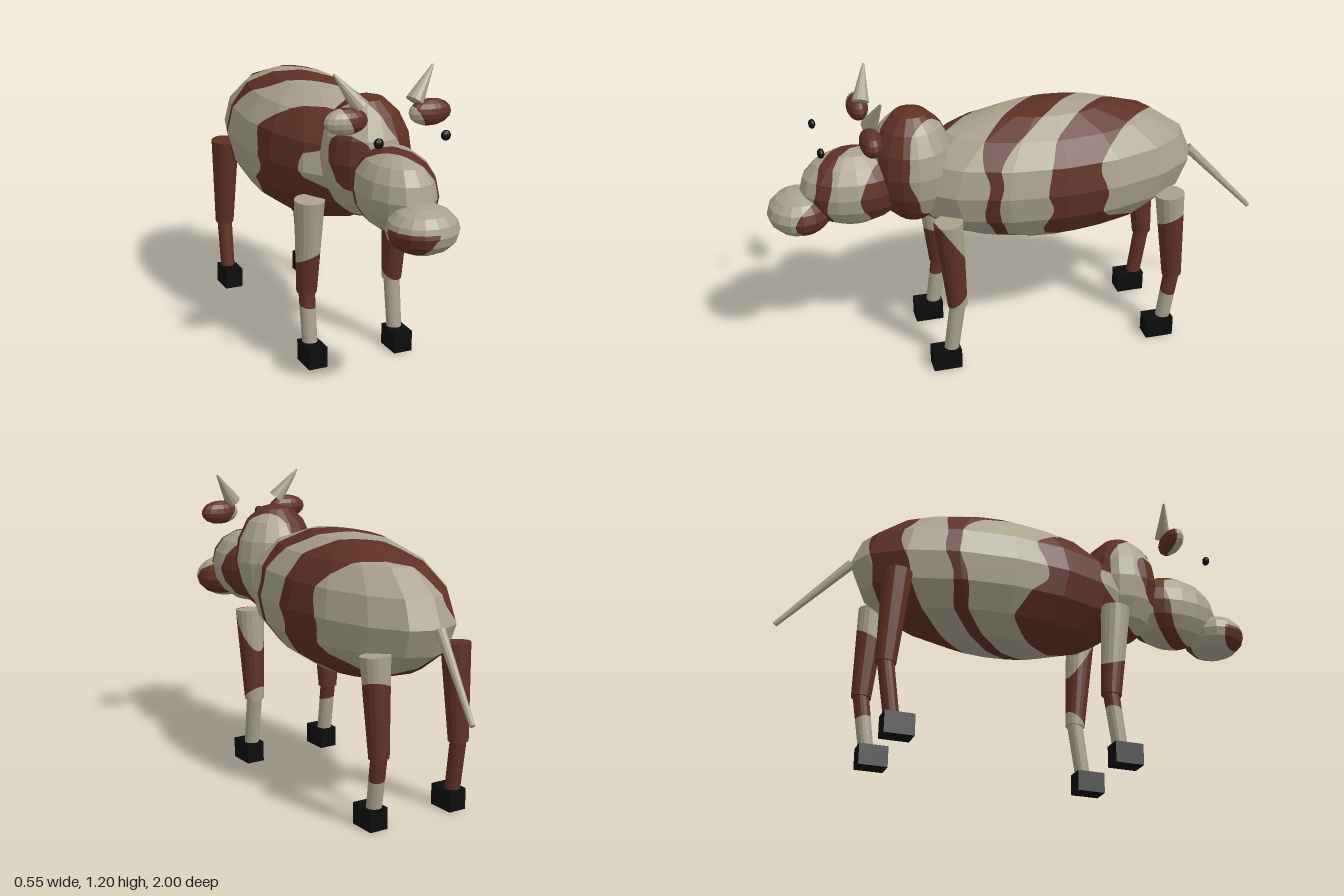
import * as THREE from 'three';

const mat = (name, color) => new THREE.MeshStandardMaterial({ name, color });

// Flat-shaded ellipsoid placed in model space
function ellipsoid(center, radii, w = 16, h = 8) {
  return new THREE.SphereGeometry(1, w, h).scale(...radii).translate(...center);
}

// Tapered limb running between two points
function limb(from, to, rFrom, rTo, sides = 16) {
  const a = new THREE.Vector3(...from), b = new THREE.Vector3(...to);
  const dir = b.clone().sub(a);
  const g = new THREE.CylinderGeometry(rTo, rFrom, dir.length(), sides);
  g.applyQuaternion(new THREE.Quaternion().setFromUnitVectors(new THREE.Vector3(0, 1, 0), dir.normalize()));
  const m = a.add(b).multiplyScalar(0.5);
  return g.translate(m.x, m.y, m.z);
}

// Faceted geometry cut along field = 0: group 0 is cream, group 1 (field > 0) is brown
function paint(source, field, n) {
  const g = source.toNonIndexed(), p = g.attributes.position;
  const sides = [[], []];
  const push = (s, ...pts) => pts.forEach((v) => sides[s].push(v.x, v.y, v.z));
  const cut = (a, b, fa, fb) => a.clone().lerp(b, fa / (fa - fb));
  const split = (tri) => {
    const f = tri.map(field), on = f.map((v) => (v > 0 ? 1 : 0));
    const sum = on[0] + on[1] + on[2];
    if (sum === 0 || sum === 3) return push(sum ? 1 : 0, ...tri);
    const lone = sum === 1 ? 1 : 0, i = on.indexOf(lone), j = (i + 1) % 3, k = (i + 2) % 3;
    const ij = cut(tri[i], tri[j], f[i], f[j]), ik = cut(tri[i], tri[k], f[i], f[k]);
    push(lone, tri[i], ij, ik);
    push(1 - lone, ij, tri[j], tri[k], ij, tri[k], ik);
  };
  for (let t = 0; t < p.count; t += 3) {
    const [a, b, c] = [0, 1, 2].map((i) => new THREE.Vector3().fromBufferAttribute(p, t + i));
    const u = b.clone().sub(a), v = c.clone().sub(a);
    const at = (i, j) => a.clone().addScaledVector(u, i / n).addScaledVector(v, j / n);
    for (let i = 0; i < n; i++) {
      for (let j = 0; j < n - i; j++) {
        split([at(i, j), at(i + 1, j), at(i, j + 1)]);
        if (i + j < n - 1) split([at(i + 1, j), at(i + 1, j + 1), at(i, j + 1)]);
      }
    }
  }
  const out = new THREE.BufferGeometry();
  out.setAttribute('position', new THREE.Float32BufferAttribute(sides[0].concat(sides[1]), 3));
  out.addGroup(0, sides[0].length / 3, 0);
  out.addGroup(sides[0].length / 3, sides[1].length / 3, 1);
  out.computeVertexNormals();
  return out;
}

// Diagonal coat stripes, widening towards the belly
function coat({ x, y, z }) {
  const c = z - 1.15 * x + 0.02 * Math.sin(17 * y + 5 * x) + 0.012 * Math.sin(31 * y + 9 * z);
  const low = THREE.MathUtils.smoothstep(0.72 - y, 0, 0.18);
  const high = THREE.MathUtils.smoothstep(y, 0.85, 1.02);
  const band = (mid, half) => half - Math.abs(c - mid);
  return Math.max(
    band(-0.46, 0.105 + 0.045 * low),
    band(-0.1, 0.035 + 0.07 * high),
    band(0.39 - 0.08 * low, 0.11 + 0.09 * low),
    band(0.7, 0.045),
    Math.min(c - 0.98, 0.715 - y)
  );
}

export function createModel() {
  const model = new THREE.Group();
  const cream = mat('cream', 0xa8a18c), brown = mat('brown', 0x5f3025), black = mat('black', 0x0c0c0c);
  const add = (name, geometry, material) => {
    const mesh = new THREE.Mesh(geometry, material);
    mesh.name = name;
    model.add(mesh);
  };
  const flat = (g) => {
    const f = g.toNonIndexed();
    f.computeVertexNormals();
    return f;
  };
  const patched = (name, g, field, n) => add(name, paint(g, field, n), [cream, brown]);

  // Body and head
  patched('body', ellipsoid([0, 0.765, -0.13], [0.277, 0.285, 0.6]), coat, 8);
  patched('head', ellipsoid([0, 0.847, 0.427], [0.172, 0.237, 0.166]), coat, 6);
  patched('snout', ellipsoid([0, 0.783, 0.66], [0.142, 0.157, 0.21]), coat, 6);
  patched('muzzle', ellipsoid([0, 0.7, 0.873], [0.133, 0.09, 0.127]), coat, 6);

  // Eyes, ears and horns
  for (const s of [-1, 1]) {
    const side = s > 0 ? 'left' : 'right';
    add(side + 'Eye', flat(ellipsoid([s * 0.131, 0.998, 0.788], [0.019, 0.019, 0.014], 10, 8)), black);
    const earCoat = s > 0
      ? (v) => v.x - 0.115 + 0.6 * (v.y - 1.036)
      : (v) => Math.max(v.x + 0.165 + 0.5 * (v.y - 1.036), 0.595 - v.z);
    patched(side + 'Ear', ellipsoid([s * 0.168, 1.036, 0.605], [0.085, 0.05, 0.043]), earCoat, 3);
    add(side + 'Horn', flat(limb([s * 0.108, 1.08, 0.598], [s * 0.198, 1.2, 0.565], 0.034, 0.004, 12)), cream);
  }

  // Legs: patch limits in height for each one
  const legs = [
    { name: 'frontLeft', x: 0.185, z: 0, top: 0.58, low: 0.295, slope: 1.5 },
    { name: 'frontRight', x: -0.185, z: 0, top: 0.43, low: 0.225, slope: 0.3 },
    { name: 'backLeft', x: 0.185, z: -0.911, top: 0.55, low: 0.2, slope: -0.4 },
    { name: 'backRight', x: -0.185, z: -0.911, top: 1, low: -1, slope: 0 },
  ];
  for (const { name, x, z, top, low, slope } of legs) {
    const field = (v) => {
      const tilt = slope * (v.z - z - 0.32) + 0.3 * (v.x - x);
      return Math.min(top + tilt - v.y, v.y - low + 0.5 * tilt);
    };
    patched(name + 'UpperLeg', limb([x, 0.284, z + 0.298], [x, 0.666, z + 0.327], 0.04, 0.059), field, 6);
    patched(name + 'LowerLeg', limb([x, 0.06, z + 0.33], [x, 0.287, z + 0.298], 0.03, 0.032), field, 6);
    add(name + 'Hoof', new THREE.BoxGeometry(0.077, 0.085, 0.116).translate(x, 0.0425, z + 0.351), black);
  }

  // Tail
  add('tail', flat(limb([0, 0.765, -0.725], [0.062, 0.487, -0.992], 0.02, 0.01, 10)), cream);

  return model;
}
